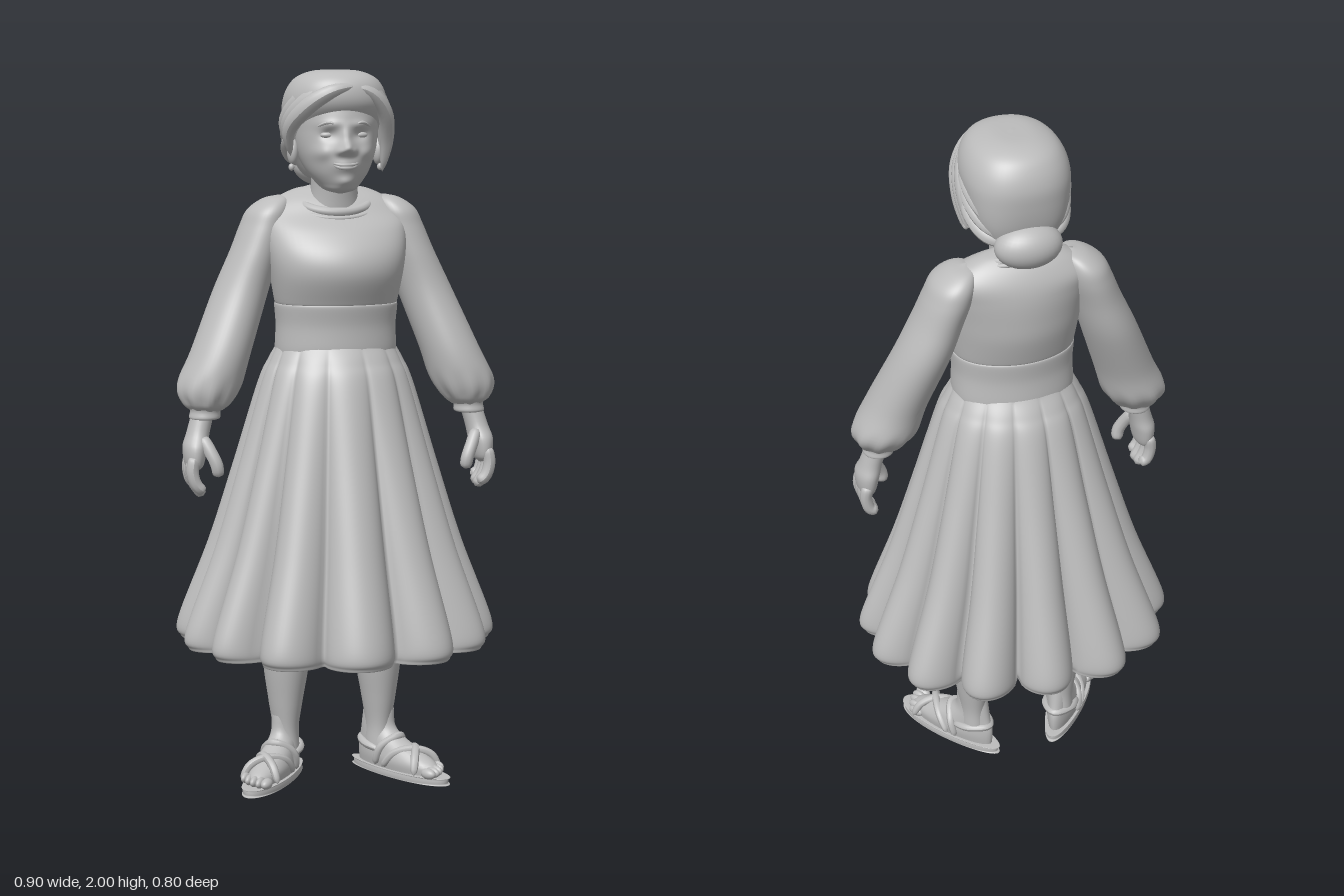
import * as THREE from 'three';

const grey = new THREE.MeshStandardMaterial({ color: 0xbcbcbc, side: THREE.DoubleSide });
grey.name = 'grey';

// Smooth body through horizontal ellipses [y, x, z, rx, rz], listed bottom to top
function loft(rows, seg, steps, shape) {
  const centre = new THREE.CatmullRomCurve3(rows.map(r => new THREE.Vector3(r[1], r[0], r[2])), false, 'catmullrom');
  const radius = new THREE.CatmullRomCurve3(rows.map(r => new THREE.Vector3(r[3], r[4], 0)), false, 'catmullrom');
  const pos = [], idx = [];
  for (let i = 0; i <= steps; i++) {
    const c = centre.getPoint(i / steps), r = radius.getPoint(i / steps);
    for (let j = 0; j < seg; j++) {
      const a = j / seg * Math.PI * 2;
      const p = new THREE.Vector3(c.x + Math.sin(a) * Math.max(r.x, 0.001), c.y, c.z + Math.cos(a) * Math.max(r.y, 0.001));
      if (shape) shape(p, a);
      pos.push(p.x, p.y, p.z);
      if (i < steps) {
        const k = i * seg, n = (j + 1) % seg;
        idx.push(k + j, k + n, k + seg + n, k + j, k + seg + n, k + seg + j);
      }
    }
  }
  const g = new THREE.BufferGeometry();
  g.setAttribute('position', new THREE.Float32BufferAttribute(pos, 3));
  g.setIndex(idx);
  g.computeVertexNormals();
  return g;
}

// Tube whose radius follows a profile along its length
const rounded = t => Math.sqrt(Math.max(0, 1 - Math.pow(2 * t - 1, 8)));
const pointed = t => Math.pow(Math.sin(Math.PI * Math.min(1, Math.max(0, t))), 0.6);
function strand(points, r, profile = rounded, n = 20) {
  const curve = new THREE.CatmullRomCurve3(points.map(p => new THREE.Vector3(...p)));
  const g = new THREE.TubeGeometry(curve, n, r, 10);
  const p = g.attributes.position, v = new THREE.Vector3();
  for (let i = 0; i < p.count; i++) {
    const t = Math.floor(i / 11) / n, c = curve.getPointAt(t);
    v.fromBufferAttribute(p, i).sub(c).multiplyScalar(Math.max(0.02, profile(t))).add(c);
    p.setXYZ(i, v.x, v.y, v.z);
  }
  g.computeVertexNormals();
  return g;
}

const ball = (x, y, z, rx, ry, rz) => new THREE.SphereGeometry(1, 32, 20).scale(rx, ry, rz).translate(x, y, z);

function mirrored(g) {
  const m = g.clone().scale(-1, 1, 1), ix = m.index;
  for (let i = 0; i < ix.count; i += 3) {
    const b = ix.getX(i + 1);
    ix.setX(i + 1, ix.getX(i + 2));
    ix.setX(i + 2, b);
  }
  m.computeVertexNormals();
  return m;
}

export function createModel() {
  const model = new THREE.Group();
  const add = (name, g) => {
    const m = new THREE.Mesh(g, grey);
    m.name = name;
    model.add(m);
  };
  const pair = (name, g) => { add(name + 'Left', g); add(name + 'Right', mirrored(g)); };

  // Skirt with fourteen blunt round pleats that deepen towards the hem
  add('skirt', loft([
    [0.392, 0, 0, 0.425, 0.385], [0.398, 0, 0, 0.438, 0.394], [0.45, 0, 0, 0.445, 0.398], [0.68, 0, 0, 0.358, 0.328],
    [0.9, 0, 0, 0.289, 0.262], [1.13, 0, 0, 0.22, 0.194], [1.2, 0, 0, 0.19, 0.16], [1.245, 0, 0, 0.165, 0.13],
  ], 252, 63, (p, a) => {
    if (a > Math.PI) a -= Math.PI * 2;
    const front = Math.abs(a) < Math.PI / 2;
    const u = front ? a - 0.11 * Math.sin(2 * a) : a;
    const drop = Math.min(1, Math.max(0, (1.245 - p.y) / 0.8));
    const fullness = front ? 1 : 1 + 0.035 * drop * Math.sin(2 * a) ** 2;
    const s = fullness * (1 - 0.24 * Math.pow(drop, 0.6) * (1 - Math.pow(Math.abs(Math.cos(7 * u)), 0.6)));
    p.x *= s;
    p.z *= s;
    p.y += 0.012 * drop * (1 - Math.cos(a));
  }));

  // Bodice with a waist seam, and collar
  add('bodice', loft([
    [1.21, 0, 0, 0.168, 0.13], [1.24, 0, 0.001, 0.17, 0.132], [1.3, 0, 0.003, 0.168, 0.13], [1.353, 0, 0.005, 0.172, 0.136],
    [1.36, 0, 0.005, 0.168, 0.132], [1.367, 0, 0.005, 0.172, 0.136], [1.44, 0, 0.01, 0.185, 0.16],
    [1.5, 0, 0.003, 0.195, 0.158], [1.56, 0, -0.02, 0.203, 0.135], [1.605, 0, -0.045, 0.205, 0.102], [1.643, 0, -0.053, 0.163, 0.075],
    [1.67, 0, -0.058, 0.108, 0.045], [1.68, 0, -0.055, 0.06, 0.03],
  ], 64, 72, (p, a) => { p.x *= 1 + 0.04 * Math.sin(2 * a) ** 2; }));
  const ring = (r, tube, sx, sz) => new THREE.TorusGeometry(r, tube, 10, 56).rotateX(Math.PI / 2).scale(sx, 1, sz).rotateX(0.37);
  add('collar', ring(0.09, 0.013, 1.1, 0.95).translate(0, 1.641, -0.025));
  add('collarSeam', ring(0.108, 0.006, 1.06, 0.93).translate(0, 1.63, -0.025));

  // Puffed sleeves with gathered cuffs
  pair('sleeve', loft([
    [1.07, 0.37, 0.035, 0.042, 0.044], [1.09, 0.37, 0.03, 0.066, 0.07], [1.14, 0.36, 0.016, 0.09, 0.096], [1.23, 0.325, 0.006, 0.084, 0.097],
    [1.39, 0.263, -0.034, 0.077, 0.095], [1.5, 0.22, -0.045, 0.069, 0.092], [1.57, 0.194, -0.052, 0.066, 0.09],
    [1.615, 0.178, -0.053, 0.059, 0.082], [1.645, 0.158, -0.053, 0.036, 0.052], [1.655, 0.148, -0.053, 0.005, 0.005],
  ], 48, 54, (p, a) => {
    const gather = Math.max(0, 1 - Math.abs(p.y - 1.1) / 0.07);
    p.x += Math.sin(a) * 0.004 * gather * Math.cos(9 * a);
    p.z += Math.cos(a) * 0.004 * gather * Math.cos(9 * a);
  }));
  pair('cuff', loft([
    [1.045, 0.377, 0.037, 0.033, 0.035], [1.05, 0.377, 0.037, 0.043, 0.046], [1.068, 0.375, 0.036, 0.042, 0.045], [1.085, 0.372, 0.034, 0.05, 0.052],
  ], 36, 12));

  // Hands with four fingers and a thumb
  pair('palm', loft([
    [0.905, 0.41, 0.057, 0.008, 0.02], [0.922, 0.41, 0.057, 0.025, 0.048], [0.97, 0.407, 0.053, 0.034, 0.054],
    [1.01, 0.397, 0.045, 0.032, 0.04], [1.07, 0.38, 0.037, 0.031, 0.033],
  ], 28, 20));
  [0.014, 0.042, 0.07, 0.096].forEach((z, i) => {
    const tip = [0.862, 0.84, 0.836, 0.85][i];
    pair('finger' + (i + 1), strand([[0.416, 0.95, z], [0.421, 0.905, z + 0.003], [0.41, 0.87, z + 0.003], [0.388, tip, z]], 0.017));
  });
  pair('thumb', strand([[0.39, 1.0, 0.075], [0.37, 0.96, 0.097], [0.355, 0.925, 0.107], [0.35, 0.892, 0.104]], 0.018));

  // Legs
  pair('leg', loft([
    [0.08, 0.135, -0.045, 0.038, 0.054], [0.14, 0.136, -0.045, 0.037, 0.052], [0.22, 0.136, -0.045, 0.049, 0.064],
    [0.33, 0.134, -0.045, 0.065, 0.082], [0.45, 0.132, -0.035, 0.067, 0.083], [0.6, 0.125, -0.02, 0.075, 0.085], [0.95, 0.095, 0, 0.085, 0.09],
  ], 32, 40));

  // Feet and sandals, shaped straight ahead and then turned outward
  const place = g => g.rotateY(0.58).translate(0.137, 0, -0.045);
  const toeWide = p => { p.x *= 1.02 + 0.9 * (p.z - 0.08); };
  pair('sole', place(loft([
    [0, 0, 0.085, 0.001, 0.001], [0, 0, 0.085, 0.046, 0.172], [0.004, 0, 0.085, 0.052, 0.178], [0.018, 0, 0.085, 0.052, 0.178],
    [0.021, 0, 0.085, 0.047, 0.173], [0.021, 0, 0.085, 0.001, 0.001],
  ], 48, 25, toeWide)));
  pair('foot', place(loft([
    [0.015, 0, 0.08, 0.043, 0.15], [0.045, 0, 0.075, 0.048, 0.148], [0.072, 0, 0.05, 0.045, 0.122],
    [0.1, 0, 0.018, 0.041, 0.082], [0.13, 0, 0, 0.038, 0.058], [0.18, 0, 0, 0.037, 0.05],
  ], 36, 25, toeWide)));
  for (let i = 0; i < 5; i++)
    pair('toe' + (i + 1), place(ball(-0.038 + i * 0.02, 0.035, 0.23 - i * i * 0.0025, i ? 0.011 : 0.015, 0.015, 0.025)));
  [[[0.055, 0.025, 0.19], [0.035, 0.066, 0.175], [0, 0.083, 0.145], [-0.037, 0.07, 0.1], [-0.05, 0.025, 0.06]],
    [[-0.055, 0.025, 0.19], [-0.035, 0.066, 0.175], [0, 0.086, 0.145], [0.037, 0.07, 0.1], [0.05, 0.025, 0.06]],
    [[0.047, 0.025, 0.03], [0.043, 0.08, 0.05], [0, 0.11, 0.08], [-0.043, 0.08, 0.05], [-0.047, 0.025, 0.03]],
    [[0.042, 0.07, 0.04], [0.038, 0.08, -0.02], [0, 0.085, -0.062], [-0.038, 0.08, -0.02], [-0.042, 0.07, 0.04]],
  ].forEach((path, i) => pair('sandalStrap' + (i + 1), place(strand(path, 0.012, rounded, 28))));

  // Neck and head; soft bumps push out the nose, brow, cheeks and chin
  add('neck', loft([[1.59, 0, -0.03, 0.08, 0.07], [1.66, 0, -0.018, 0.066, 0.066], [1.76, 0, -0.005, 0.066, 0.07]], 32, 12));
  const bumps = [ // x, y, width, height, push
    [0, 1.787, 0.02, 0.018, 0.032], [0, 1.818, 0.014, 0.03, 0.014], [0.019, 1.779, 0.011, 0.01, 0.011],
    [0.045, 1.823, 0.02, 0.014, -0.012], [0.04, 1.852, 0.03, 0.012, 0.007], [0.062, 1.775, 0.024, 0.02, 0.011],
    [0, 1.743, 0.035, 0.018, 0.01], [0, 1.695, 0.025, 0.015, 0.01],
  ];
  add('head', loft([
    [1.662, 0, 0.065, 0.004, 0.004], [1.672, 0, 0.055, 0.04, 0.055], [1.69, 0, 0.04, 0.06, 0.082], [1.72, 0, 0.025, 0.083, 0.11],
    [1.755, 0, 0.01, 0.1, 0.13], [1.79, 0, 0, 0.111, 0.14], [1.83, 0, -0.005, 0.117, 0.142], [1.88, 0, -0.01, 0.12, 0.145],
    [1.93, 0, -0.015, 0.11, 0.13], [1.97, 0, -0.015, 0.05, 0.06],
  ], 128, 90, (p, a) => {
    if (Math.cos(a) <= 0) return;
    const { x, y } = p;
    for (const [bx, by, w, h, push] of bumps)
      p.z += push * Math.exp(-(((Math.abs(x) - bx) / w) ** 2) - ((y - by) / h) ** 2);
  }));
  pair('eyelid', ball(0.045, 1.823, 0.107, 0.021, 0.01, 0.014));
  pair('eyebrow', strand([[0.02, 1.848, 0.137], [0.045, 1.857, 0.13], [0.075, 1.846, 0.108]], 0.005, pointed));
  add('upperLip', strand([[-0.044, 1.751, 0.123], [-0.02, 1.744, 0.143], [0, 1.743, 0.148], [0.02, 1.744, 0.143], [0.044, 1.751, 0.123]], 0.005, pointed));
  add('lowerLip', strand([[-0.04, 1.747, 0.123], [-0.02, 1.737, 0.141], [0, 1.735, 0.146], [0.02, 1.737, 0.141], [0.04, 1.747, 0.123]], 0.006, pointed));
  pair('ear', ball(0.12, 1.775, 0, 0.016, 0.036, 0.022));
  pair('earring', ball(0.125, 1.733, 0.006, 0.008, 0.01, 0.008));

  // Hair cap, locks swept from a side parting, and bun
  add('hair', loft([
    [1.69, 0, -0.07, 0.03, 0.03], [1.71, 0, -0.075, 0.075, 0.055], [1.76, 0, -0.068, 0.108, 0.08], [1.8, 0, -0.055, 0.126, 0.105],
    [1.85, 0, -0.035, 0.138, 0.133], [1.9, 0, -0.015, 0.143, 0.155], [1.945, 0, -0.006, 0.132, 0.15],
    [1.978, 0, -0.002, 0.106, 0.127], [1.996, 0, 0, 0.06, 0.08], [1.999, 0, 0, 0.001, 0.001],
  ], 64, 54, (p, a) => {
    const corner = 1 + 0.05 * Math.sin(2 * a) ** 2;
    p.x *= corner;
    p.z *= corner;
  }));
  for (let i = 0; i < 3; i++) {
    const d = i * 0.025, b = i * 0.013;
    add('rightFringe' + (i + 1), strand([[0.04, 1.957 + b, 0.128 - d], [-0.04, 1.94 + b, 0.136 - d], [-0.105, 1.895 + b, 0.106 - d],
      [-0.142, 1.835 + b, 0.06 - d], [-0.132, 1.765 + b, 0.03 - d]], 0.024, pointed));
    add('leftFringe' + (i + 1), strand([[0.01, 1.958 + b, 0.128 - d], [0.075, 1.935 + b, 0.122 - d], [0.12, 1.88 + b, 0.09 - d],
      [0.134, 1.81 + b, 0.05 - d], [0.128, 1.72 + b, 0.02 - d]], 0.022, pointed));
    pair('sweptLock' + (i + 1), strand([[0.124, 1.9 - i * 0.035, 0.06 - i * 0.02], [0.131, 1.87 - i * 0.035, -0.03],
      [0.1, 1.815 - i * 0.03, -0.102], [0.03, 1.76 - i * 0.015, -0.135]], 0.019, pointed));
  }
  add('bun', ball(0, 1.735, -0.143, 0.092, 0.062, 0.062));
  return model;
}
